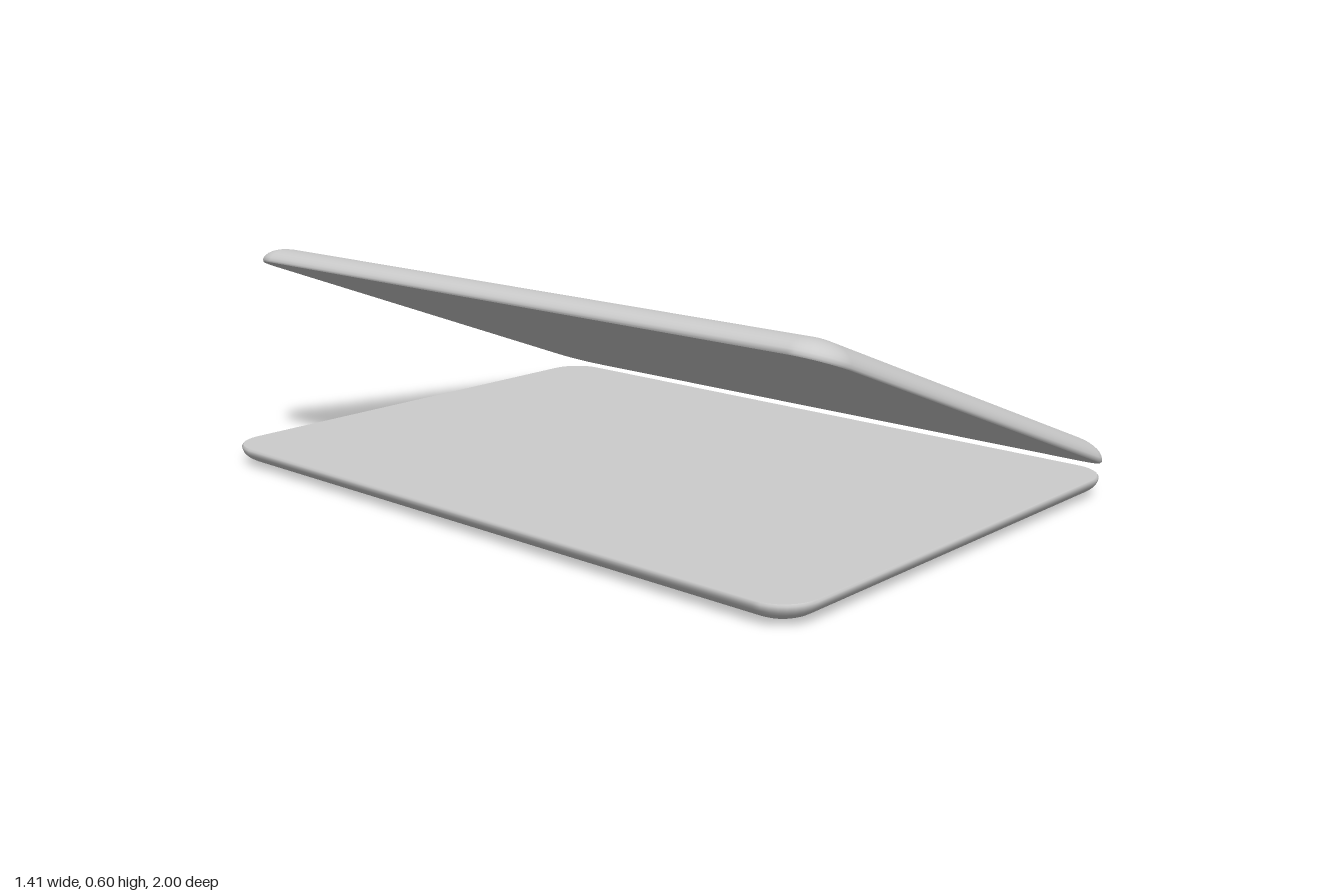
import * as THREE from 'three';

const WIDTH = 1.4, LENGTH = 2, THICK = 0.056, CORNER = 0.1, BEVEL = 0.1, TILT = 0.369;

// Rounded rectangle in the xz plane, shrunk by an inset
function outline(inset, y) {
  const r = Math.max(CORNER - inset, 0.012), steps = 8, pts = [];
  const hx = WIDTH / 2 - inset - r, hz = LENGTH / 2 - inset - r;
  const signs = [[1, 1], [-1, 1], [-1, -1], [1, -1]];
  signs.forEach(([sx, sz], q) => {
    for (let i = 0; i <= steps; i++) {
      const a = (q + i / steps) * Math.PI / 2;
      pts.push([sx * hx + r * Math.cos(a), y, sz * hz + r * Math.sin(a)]);
    }
  });
  return pts;
}

// Thin slab: flat face at y = 0, pillowed edges rising to a flat outer face
function shellGeometry() {
  const rings = [outline(0.004, 0), outline(0.004, 0), outline(0, 0.005)];
  const steps = 10;
  for (let i = 1; i <= steps; i++) {
    const a = (i / steps) * Math.PI / 2;
    rings.push(outline(BEVEL * (1 - Math.cos(a)), 0.005 + (THICK - 0.005) * Math.sin(a)));
  }
  const n = rings[0].length, position = rings.flat(2), index = [];
  const total = rings.length * n;
  position.push(0, 0, 0, 0, THICK, 0);
  for (let j = 0; j < n; j++) {
    const k = (j + 1) % n;
    index.push(total, j, k); // inner face, with its own ring for a sharp rim
    for (let i = 1; i < rings.length - 1; i++) {
      const a = i * n + j, b = i * n + k;
      index.push(a, a + n, b, b, a + n, b + n);
    }
    const top = (rings.length - 1) * n;
    index.push(total + 1, top + k, top + j); // outer face
  }
  const geometry = new THREE.BufferGeometry();
  geometry.setAttribute('position', new THREE.Float32BufferAttribute(position, 3));
  geometry.setIndex(index);
  geometry.computeVertexNormals();
  return geometry;
}

export function createModel() {
  const model = new THREE.Group();
  model.name = 'openCase';
  const geometry = shellGeometry();
  const material = new THREE.MeshStandardMaterial({ color: 0xcccccc });

  // Lower half, pillowed side down
  const base = new THREE.Mesh(geometry, material);
  base.name = 'base';
  base.rotation.z = Math.PI;
  base.position.set(-0.005, THICK, 0);

  // Upper half, tilted open along the +x edge
  const lid = new THREE.Mesh(geometry, material);
  lid.name = 'lid';
  lid.rotation.z = -TILT;
  lid.position.set(0.049, 0.318, 0);

  model.add(base, lid);
  return model;
}
